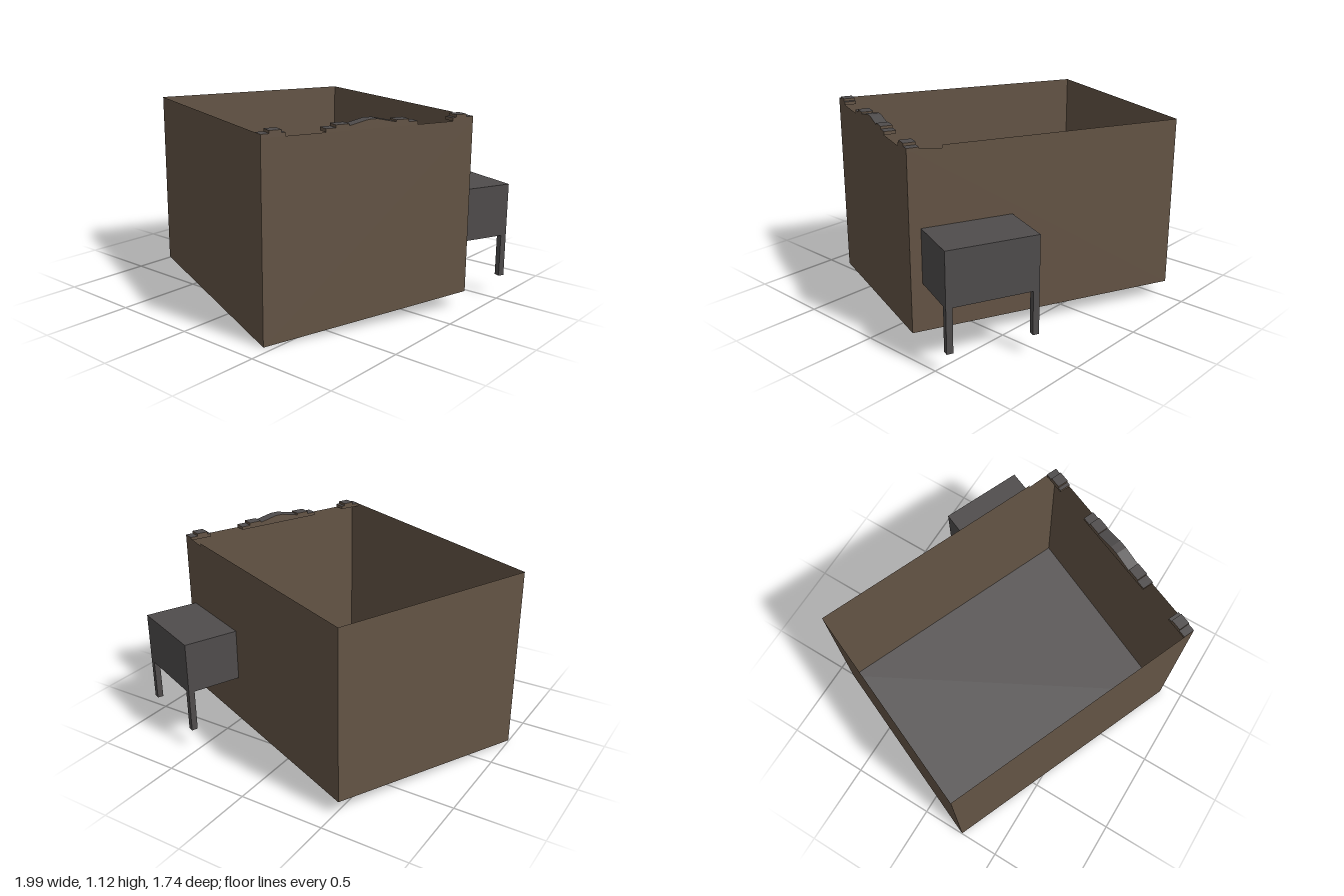
import * as THREE from 'three';

const brown = new THREE.MeshStandardMaterial({ color: 0x645445, side: THREE.DoubleSide });
brown.name = 'brown wall';
const grey = new THREE.MeshStandardMaterial({ color: 0x4f4c4c, side: THREE.DoubleSide });
grey.name = 'dark grey';

// Half length and half width of the building, and height of the low wall top
const U = 0.787, V = 0.614, LOW = 1.067, HIGH = 1.085;
const PARAPET = 0.065;

// Flat sheet from a fan of corner points
function sheet(points, material, name) {
  const pos = [];
  for (let i = 1; i < points.length - 1; i++) {
    pos.push(...points[0], ...points[i], ...points[i + 1]);
  }
  const g = new THREE.BufferGeometry();
  g.setAttribute('position', new THREE.Float32BufferAttribute(pos, 3));
  g.computeVertexNormals();
  const m = new THREE.Mesh(g, material);
  m.name = name;
  return m;
}

function box(u0, u1, y0, y1, v0, v1, material, name) {
  const m = new THREE.Mesh(new THREE.BoxGeometry(u1 - u0, y1 - y0, v1 - v0), material);
  m.position.set((u0 + u1) / 2, (y0 + y1) / 2, (v0 + v1) / 2);
  m.name = name;
  return m;
}

// Raised piece of parapet: brown sides with grey caps on every top edge
function parapet(profile, name) {
  const group = new THREE.Group();
  group.name = name;
  const first = profile[0], last = profile[profile.length - 1];
  const outline = [[first[0], LOW], ...profile, [last[0], LOW]];
  const shape = new THREE.Shape(outline.map(([v, y]) => new THREE.Vector2(-v, y)));
  const g = new THREE.ExtrudeGeometry(shape, { depth: PARAPET, bevelEnabled: false });
  g.rotateY(Math.PI / 2);
  g.translate(U - PARAPET, 0, 0);
  const body = new THREE.Mesh(g, brown);
  body.name = 'parapetBody';
  group.add(body);
  for (let i = 0; i < profile.length - 1; i++) {
    const [v0, y0] = profile[i], [v1, y1] = profile[i + 1];
    if (v0 === v1) continue;
    const e = 0.001;
    group.add(sheet([
      [U - PARAPET, y0 + e, v0], [U - PARAPET, y1 + e, v1], [U, y1 + e, v1], [U, y0 + e, v0],
    ], grey, 'parapetCap'));
  }
  return group;
}

export function createModel() {
  const root = new THREE.Group();
  root.name = 'building';
  const house = new THREE.Group();
  house.name = 'turnedBuilding';
  house.rotation.y = -0.398;
  house.position.x = -0.035;
  root.add(house);

  // Base corners follow the sloping ground
  const A = [-U, 0.085, -V], B = [U, 0.095, -V], C = [U, 0, V], D = [-U, 0.005, V];
  const up = (p, y) => [p[0], y, p[2]];

  house.add(sheet([A, D, C, B], grey, 'floor'));
  house.add(sheet([D, C, up(C, HIGH), up(D, LOW)], brown, 'longWallFront'));
  house.add(sheet([A, D, up(D, LOW), up(A, LOW)], brown, 'endWall'));
  house.add(sheet([C, B, up(B, LOW), up(C, LOW)], brown, 'facadeWall'));

  // Back wall has a small dip in its top edge beside the facade
  house.add(sheet([
    A, B, up(B, HIGH), [0.6, LOW, -V], [0.6, 1.083, -V], up(A, LOW),
  ], brown, 'longWallBack'));

  // Stepped facade: two corner blocks and a gabled centre
  const corner = [[0.484, HIGH], [0.505, HIGH], [0.505, 1.1], [0.57, 1.1], [0.57, HIGH], [V, HIGH]];
  const mirror = (p) => p.map(([v, y]) => [-v, y]).reverse();
  house.add(parapet(corner, 'cornerParapetFront'));
  house.add(parapet(mirror(corner), 'cornerParapetBack'));
  const half = [[0.025, 1.114], [0.136, 1.09], [0.136, 1.1], [0.212, 1.1], [0.212, HIGH], [0.266, HIGH]];
  house.add(parapet([...mirror(half), ...half], 'centreParapet'));

  // Raised annexe on two posts
  const u0 = 0.22, u1 = 0.725, v0 = -0.934, s = 0.035;
  house.add(box(u0, u1, 0.365, 0.665, v0, -V - 0.001, grey, 'annexe'));
  for (const u of [u0, u1 - s]) {
    house.add(box(u, u + s, 0.12, 0.366, v0, v0 + s, grey, 'annexePost'));
  }
  return root;
}
